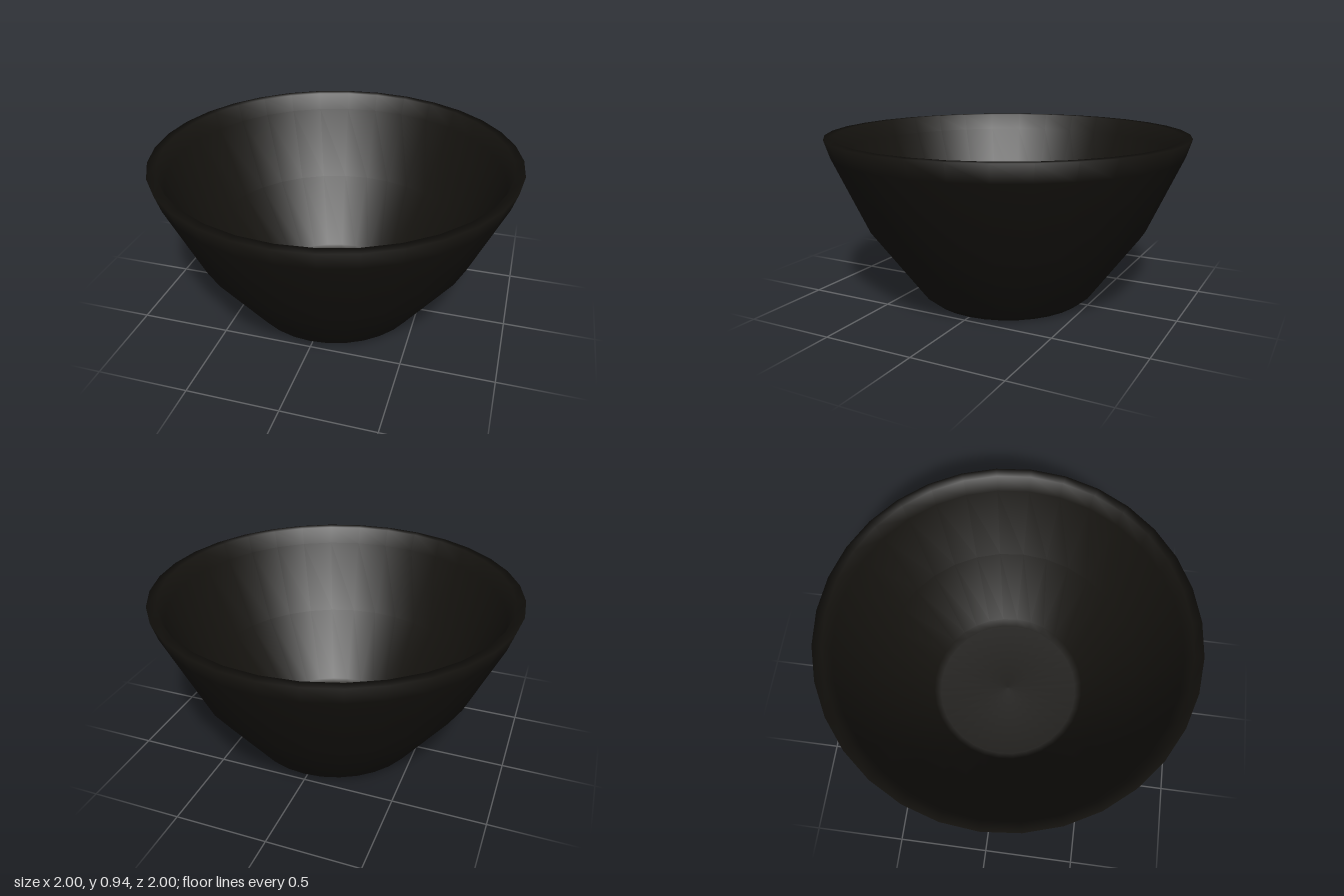
import * as THREE from 'three';

export function createModel() {
  const group = new THREE.Group();
  group.name = 'bowl';

  // Closed wall section: underside, outer wall, rim, inner wall, inner floor
  const profile = [
    [0, 0], [0.45, 0], [0.5, 0.04], [0.78, 0.42], [0.97, 0.84], [1, 0.935],
    [0.95, 0.935], [0.92, 0.84], [0.735, 0.44], [0.46, 0.075], [0.42, 0.05], [0, 0.05],
  ].map(([r, y]) => new THREE.Vector2(r, y));

  const material = new THREE.MeshStandardMaterial({ color: 0x15130f });
  const shell = new THREE.Mesh(new THREE.LatheGeometry(profile, 32), material);
  shell.name = 'bowlShell';
  group.add(shell);

  return group;
}
